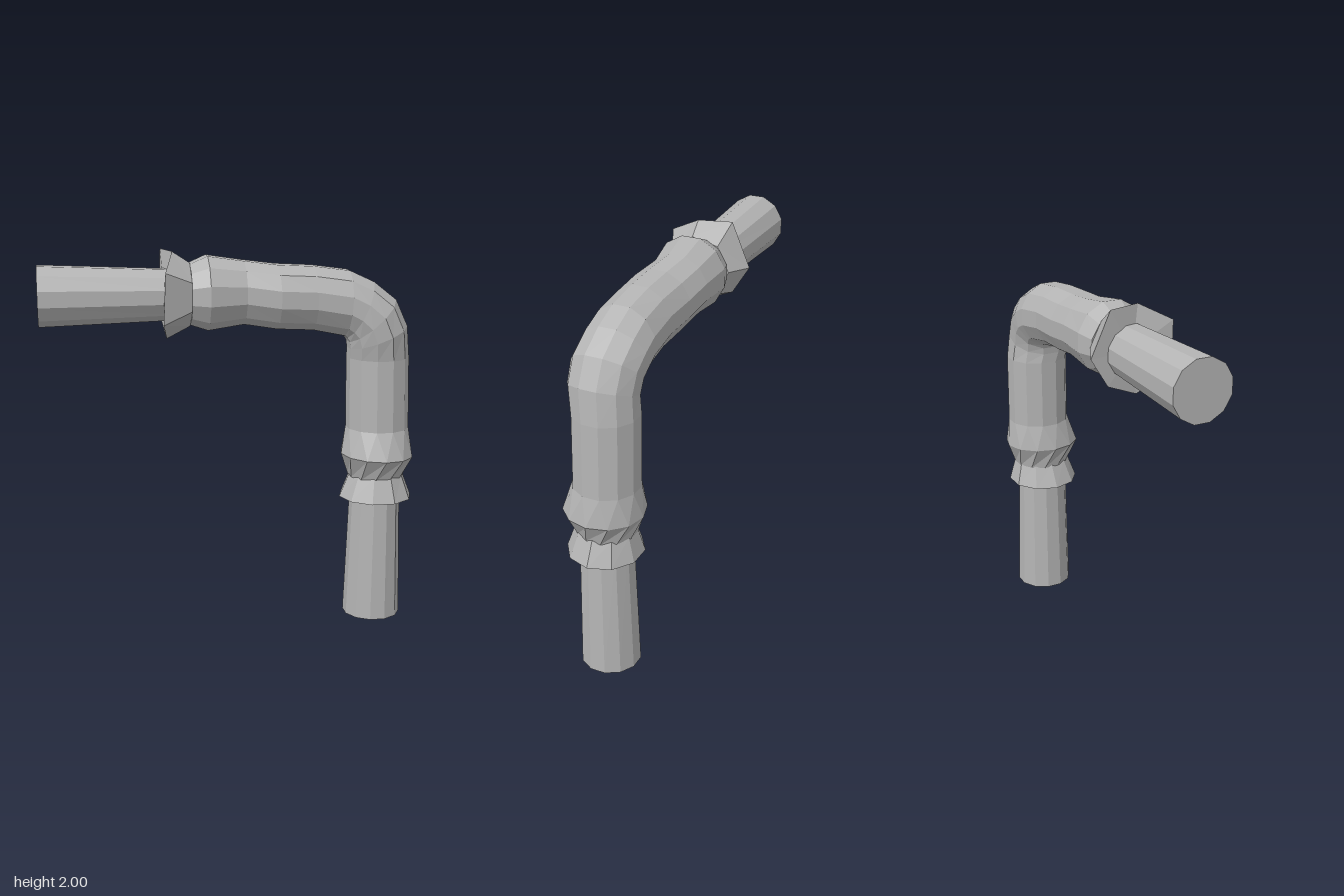
import * as THREE from 'three';

// Ring between an inner and an outer point of the bend, spanning zMin..zMax
function ring([ix, iy, ox, oy, zMin, zMax, phase = 0.5], sides) {
  const points = [];
  for (let j = 0; j < sides; j++) {
    const a = ((j + phase) / sides) * Math.PI * 2;
    const c = Math.cos(a) / 2;
    points.push(new THREE.Vector3(
      (ix + ox) / 2 + c * (ox - ix),
      (iy + oy) / 2 + c * (oy - iy),
      (zMin + zMax) / 2 + (Math.sin(a) * (zMax - zMin)) / 2
    ));
  }
  return points;
}

// Skin a list of rings with equal point counts, closing both ends
function loft(rings) {
  const pos = [];
  const tri = (...v) => v.forEach((p) => pos.push(p.x, p.y, p.z));
  const n = rings[0].length;
  for (let i = 0; i < rings.length - 1; i++) {
    for (let j = 0; j < n; j++) {
      const k = (j + 1) % n;
      const a = rings[i][j], b = rings[i][k], c = rings[i + 1][k], d = rings[i + 1][j];
      tri(a, b, c);
      tri(a, c, d);
    }
  }
  const cap = (r, flip) => {
    const mid = r.reduce((s, p) => s.add(p), new THREE.Vector3()).divideScalar(n);
    for (let j = 0; j < n; j++) {
      const k = (j + 1) % n;
      if (flip) tri(mid, r[k], r[j]);
      else tri(mid, r[j], r[k]);
    }
  };
  cap(rings[0], true);
  cap(rings[rings.length - 1], false);
  const geometry = new THREE.BufferGeometry();
  geometry.setAttribute('position', new THREE.Float32BufferAttribute(pos, 3));
  geometry.computeVertexNormals();
  return geometry;
}

export function createModel() {
  const group = new THREE.Group();
  const grey = new THREE.MeshStandardMaterial({ color: 0xb4b4b4, flatShading: true });
  grey.name = 'grey';

  const add = (name, rings) => {
    const mesh = new THREE.Mesh(loft(rings), grey);
    mesh.name = name;
    group.add(mesh);
  };
  const rounded = (rows, sides) => rows.map((row) => ring(row, sides));

  // Tapered straight pipes
  add('upperPipe', rounded([
    [-0.985, 1.625, -0.985, 1.94, -0.165, 0.15],
    [-0.25, 1.647, -0.25, 1.908, -0.14, 0.125],
  ], 12));
  add('lowerPipe', rounded([
    [0.647, 0.72, 0.913, 0.72, -0.12, 0.157],
    [0.625, 0, 0.935, 0, -0.14, 0.17],
  ], 12));

  // Bent sleeve, from the upper collar round the elbow and down
  add('bentSleeve', rounded([
    [-0.22, 1.62, -0.22, 1.94, -0.165, 0.155],
    [-0.13, 1.59, -0.13, 1.98, -0.195, 0.19],
    [0.06, 1.615, 0.06, 1.95, -0.185, 0.15],
    [0.23, 1.59, 0.23, 1.93, -0.175, 0.178],
    [0.42, 1.58, 0.42, 1.92, -0.168, 0.168],
    [0.59, 1.545, 0.61, 1.895, -0.172, 0.17],
    [0.6, 1.535, 0.74, 1.835, -0.172, 0.178],
    [0.61, 1.515, 0.86, 1.74, -0.165, 0.188],
    [0.614, 1.48, 0.925, 1.6, -0.16, 0.188],
    [0.615, 1.43, 0.945, 1.43, -0.17, 0.168],
    [0.62, 1.05, 0.955, 1.05, -0.168, 0.172],
    [0.59, 0.91, 0.98, 0.9, -0.188, 0.228, 0],
    [0.635, 0.785, 0.93, 0.785, -0.14, 0.165],
  ], 12));

  // Flared collar below the sleeve
  add('lowerCollar', rounded([
    [0.64, 0.8, 0.93, 0.8, -0.138, 0.168, 0],
    [0.585, 0.67, 0.98, 0.67, -0.172, 0.216, 0],
  ], 10));

  // Uneven flared collar at the other end
  const flare = [
    [-0.31, 2.0, 0.04], [-0.36, 1.91, 0.21], [-0.37, 1.65, 0.2], [-0.34, 1.555, 0.02],
    [-0.35, 1.62, -0.14], [-0.35, 1.77, -0.232], [-0.355, 2.0, -0.13],
  ].map((p) => new THREE.Vector3(...p));
  add('upperCollar', [flare, ring([-0.22, 1.615, -0.22, 1.945, -0.17, 0.16, 0.25], 7)]);

  return group;
}
